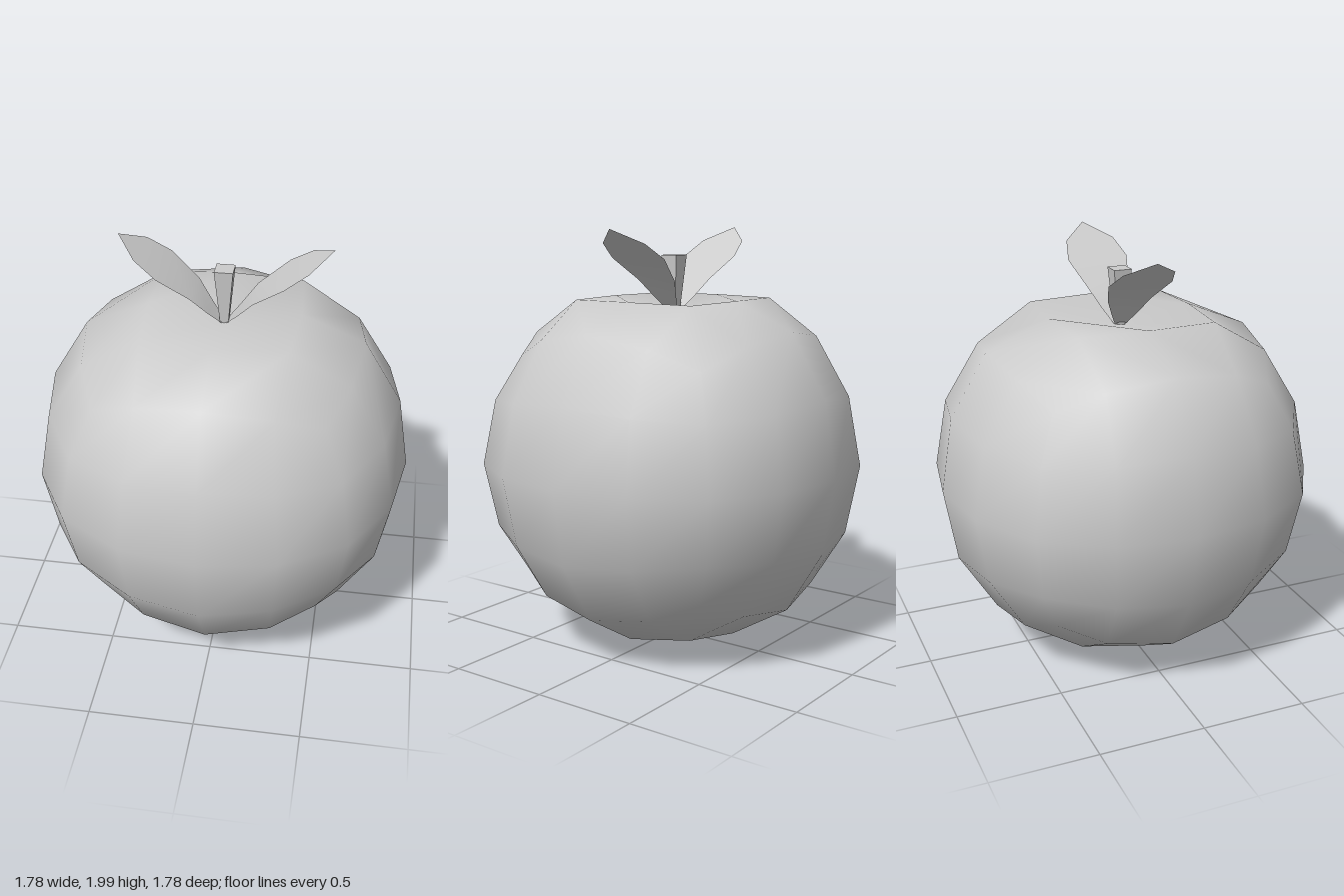
import * as THREE from 'three';
import { mergeVertices } from 'three/addons/utils/BufferGeometryUtils.js';

const grey = () => new THREE.MeshStandardMaterial({ color: 0xcccccc });

// Rounded-cube body: each grid point (steps 0..2 from the centre) moves to its subdivided place.
// Keys are the sorted steps; values are the coordinates for step 0, 1 and 2.
const ROUND = {
  '002': [0, 0, 0.888],
  '012': [0, 0.354, 0.83],
  '022': [0, 0, 0.651],
  '112': [0, 0.33, 0.773],
  '122': [0, 0.306, 0.606],
  '222': [0, 0, 0.515],
};

function bodyGeometry() {
  let geo = new THREE.BoxGeometry(4, 4, 4, 4, 4, 4);
  geo.deleteAttribute('uv');
  geo.deleteAttribute('normal');
  geo = mergeVertices(geo);
  const pos = geo.attributes.position;
  for (let i = 0; i < pos.count; i++) {
    const step = [pos.getX(i), pos.getY(i), pos.getZ(i)].map(Math.round);
    const key = step.map(Math.abs).sort().join('');
    const p = step.map((s) => Math.sign(s) * ROUND[key][Math.abs(s)]);
    // Dimple at the top
    if (step[1] === 2) {
      if (key === '002') p[1] = 0.71;
      if (key === '012') p[1] = 0.776;
    }
    pos.setXYZ(i, ...p);
  }
  geo.computeVertexNormals();
  return geo;
}

// Thin leaf: rows of [outward distance, height, half width], closing at the tip
function leafGeometry() {
  const rows = [
    [0.0, 1.6, 0.02],
    [0.065, 1.67, 0.06],
    [0.14, 1.76, 0.105],
    [0.28, 1.865, 0.15],
    [0.385, 1.935, 0.12],
    [0.485, 2.0, 0],
  ];
  const verts = [];
  const index = [];
  rows.forEach(([x, y, w], i) => {
    verts.push(x, y, -w, x, y, w);
    if (i > 0) {
      const a = 2 * i - 2;
      index.push(a, a + 1, a + 3);
      if (w > 0) index.push(a, a + 3, a + 2);
    }
  });
  // The tip is a single point, so the last strip needs one more triangle
  const last = 2 * rows.length - 4;
  index.push(last, last + 3, last + 2);
  index.splice(index.length - 3, 3);
  const geo = new THREE.BufferGeometry();
  geo.setAttribute('position', new THREE.Float32BufferAttribute(verts, 3));
  geo.setIndex(index);
  geo.computeVertexNormals();
  return geo;
}

export function createModel() {
  const model = new THREE.Group();
  model.name = 'apple';

  const body = new THREE.Mesh(bodyGeometry(), grey());
  body.name = 'body';
  body.position.y = 0.895;
  model.add(body);

  // Four-sided stem, wider at the top
  const stemGeo = new THREE.CylinderGeometry(0.043 * Math.SQRT2, 0.018 * Math.SQRT2, 0.28, 4);
  stemGeo.rotateY(Math.PI / 4);
  const stemMat = grey();
  stemMat.flatShading = true;
  const stem = new THREE.Mesh(stemGeo, stemMat);
  stem.name = 'stem';
  stem.position.y = 1.735;
  model.add(stem);

  // Two leaves, the second turned slightly off the axis
  const leafMat = grey();
  leafMat.side = THREE.DoubleSide;
  const leafGeo = leafGeometry();
  [['leftLeaf', 0], ['rightLeaf', Math.PI - 0.05]].forEach(([name, turn]) => {
    const leaf = new THREE.Mesh(leafGeo, leafMat);
    leaf.name = name;
    leaf.rotation.y = turn;
    model.add(leaf);
  });

  return model;
}
